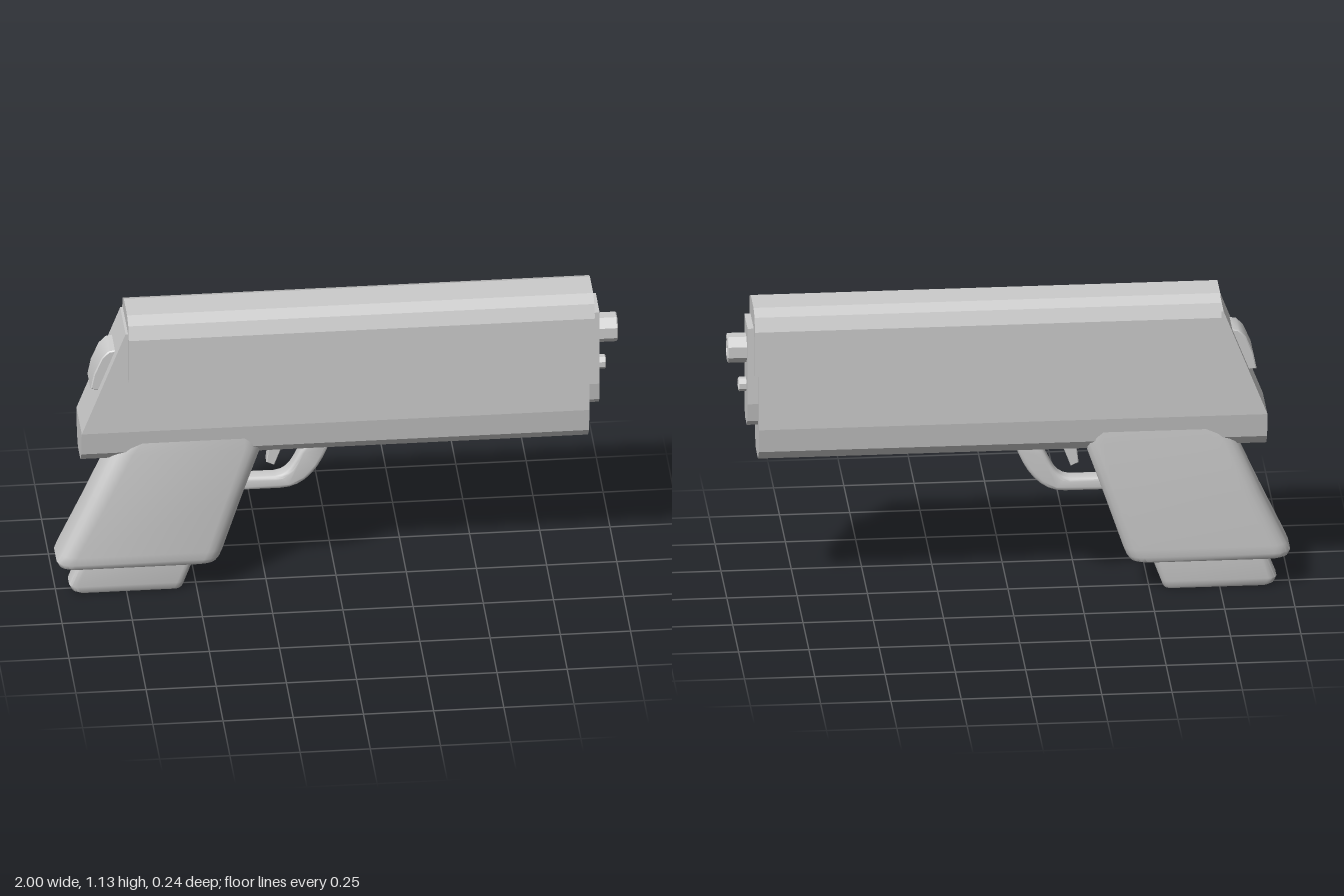
import * as THREE from 'three';
import { toCreasedNormals } from 'three/addons/utils/BufferGeometryUtils.js';

const material = new THREE.MeshStandardMaterial({ color: 0xcccccc });

function part(group, name, geometry) {
  const mesh = new THREE.Mesh(geometry, material);
  mesh.name = name;
  group.add(mesh);
  return mesh;
}

const toShape = (pts) => new THREE.Shape(pts.map(([x, y]) => new THREE.Vector2(x, y)));

// Mirrors half a cross-section ([z, y], bottom to top) into a closed outline
const mirrored = (half) => toShape([...half, ...half.map(([z, y]) => [-z, y]).reverse()]);

// Extrudes a (z, y) cross-section along x
function alongX(shape, x0, x1) {
  const g = new THREE.ExtrudeGeometry(shape, { depth: x1 - x0, bevelEnabled: false });
  return g.rotateY(Math.PI / 2).translate(x0, 0, 0);
}

// Extrudes a side profile (x, y) to a full width centred on z = 0, with soft edges
function acrossZ(shape, halfWidth, bevel, segments = 2) {
  const g = new THREE.ExtrudeGeometry(shape, {
    depth: 2 * (halfWidth - bevel), bevelThickness: bevel, bevelSize: bevel,
    bevelOffset: -bevel, bevelSegments: segments, curveSegments: 8,
  });
  return toCreasedNormals(g.translate(0, 0, bevel - halfWidth), 0.7);
}

// Lofts rounded rectangles up y; each level is
// [y, back x, front x, half width, corner length x, front corner z, back corner z]
function loft(levels, steps = 4) {
  const pos = [], index = [], n = 4 * (steps + 1);
  for (const [y, x0, x1, hz, cx, fz, bz] of levels) {
    for (let q = 0; q < 4; q++) {
      const front = q === 0 || q === 3, cz = front ? fz : bz;
      for (let s = 0; s <= steps; s++) {
        const a = (q + s / steps) * Math.PI / 2;
        const mx = front ? x1 - cx : x0 + cx;
        const mz = (q < 2 ? 1 : -1) * (hz - cz);
        pos.push(mx + cx * Math.cos(a), y, mz + cz * Math.sin(a));
      }
    }
  }
  for (let l = 0; l < levels.length - 1; l++) {
    for (let i = 0; i < n; i++) {
      const a = l * n + i, b = l * n + (i + 1) % n;
      index.push(a, a + n, b, b, a + n, b + n);
    }
  }
  const top = (levels.length - 1) * n;
  for (let i = 1; i < n - 1; i++) {
    index.push(0, i, i + 1, top, top + i + 1, top + i);
  }
  const g = new THREE.BufferGeometry();
  g.setAttribute('position', new THREE.Float32BufferAttribute(pos, 3));
  g.setIndex(index);
  return toCreasedNormals(g, 0.75);
}

// Octagonal tube pointing along +x, with a blind bore
function bore(radius, inner, x0, x1, y) {
  const pts = [[radius, x0], [radius, x1 - 0.004], [radius - 0.004, x1], [inner, x1], [inner, x1 - 0.06], [0, x1 - 0.06]];
  const g = new THREE.LatheGeometry(pts.map(([r, h]) => new THREE.Vector2(r, h)), 8, Math.PI / 8);
  return toCreasedNormals(g.rotateZ(-Math.PI / 2).translate(0, y, 0), 0.5);
}

export function createModel() {
  const model = new THREE.Group();
  model.name = 'pistol';

  // Slide: chamfered cap with a channel underneath
  part(model, 'slide', alongX(mirrored([
    [0.1, 1.035], [0.1, 0.895], [0.122, 0.895], [0.122, 1.065], [0.104, 1.115], [0.06, 1.135],
  ]), -0.75, 0.91));

  // Frame: split at the bend so the raked back stays flat
  const lower = mirrored([[0.045, 0.55], [0.083, 0.59], [0.098, 0.68]]);
  const upper = mirrored([[0.098, 0.68], [0.098, 1.08]]);
  const frame = alongX([lower, upper], -0.915, 0.893);
  const p = frame.attributes.position;
  for (let i = 0; i < p.count; i++) {
    if (p.getX(i) < 0) p.setX(i, -0.915 + Math.max(0, p.getY(i) - 0.68) * 0.39);
  }
  frame.computeVertexNormals();
  part(model, 'frame', frame);

  // Front plate, barrel and guide rod
  part(model, 'frontPlate', alongX(mirrored([
    [0.036, 0.677], [0.058, 0.7], [0.071, 0.77], [0.071, 1.06],
  ]), 0.88, 0.932));
  part(model, 'barrel', bore(0.053, 0.038, 0.9, 1.0, 0.96));
  part(model, 'guideRod', bore(0.026, 0.018, 0.9, 0.96, 0.82));

  // Hammer
  part(model, 'hammer', acrossZ(toShape([
    [-0.78, 0.86], [-0.845, 0.835], [-0.88, 0.84], [-0.868, 0.9], [-0.84, 0.965], [-0.815, 0.99], [-0.78, 0.995],
  ]), 0.06, 0.004, 1));

  // Grip
  part(model, 'grip', loft([
    [0.115, -0.975, -0.45, 0.075, 0.05, 0.03, 0.03],
    [0.122, -0.99, -0.432, 0.085, 0.055, 0.036, 0.036],
    [0.14, -1.0, -0.418, 0.09, 0.06, 0.045, 0.042],
    [0.17, -0.988, -0.406, 0.091, 0.06, 0.046, 0.045],
    [0.37, -0.895, -0.338, 0.091, 0.065, 0.06, 0.05],
    [0.58, -0.802, -0.265, 0.091, 0.07, 0.062, 0.055],
    [0.65, -0.75, -0.262, 0.088, 0.07, 0.062, 0.055],
  ]));

  // Magazine base
  part(model, 'magazine', loft([
    [0, -0.925, -0.555, 0.04, 0.025, 0.02, 0.02],
    [0.008, -0.942, -0.549, 0.046, 0.03, 0.024, 0.024],
    [0.03, -0.953, -0.541, 0.05, 0.03, 0.026, 0.026],
    [0.14, -0.91, -0.5, 0.05, 0.03, 0.026, 0.026],
  ]));

  // Trigger guard
  const guard = new THREE.Shape();
  guard.moveTo(-0.02, 0.57);
  guard.bezierCurveTo(-0.055, 0.46, -0.11, 0.38, -0.2, 0.38);
  guard.lineTo(-0.36, 0.38);
  guard.lineTo(-0.36, 0.43);
  guard.lineTo(-0.22, 0.43);
  guard.bezierCurveTo(-0.15, 0.435, -0.15, 0.52, -0.1, 0.57);
  part(model, 'triggerGuard', acrossZ(guard, 0.032, 0.014, 3));

  // Trigger
  part(model, 'trigger', acrossZ(toShape([
    [-0.24, 0.57], [-0.25, 0.485], [-0.222, 0.472], [-0.185, 0.57],
  ]), 0.02, 0.003, 1));

  return model;
}
